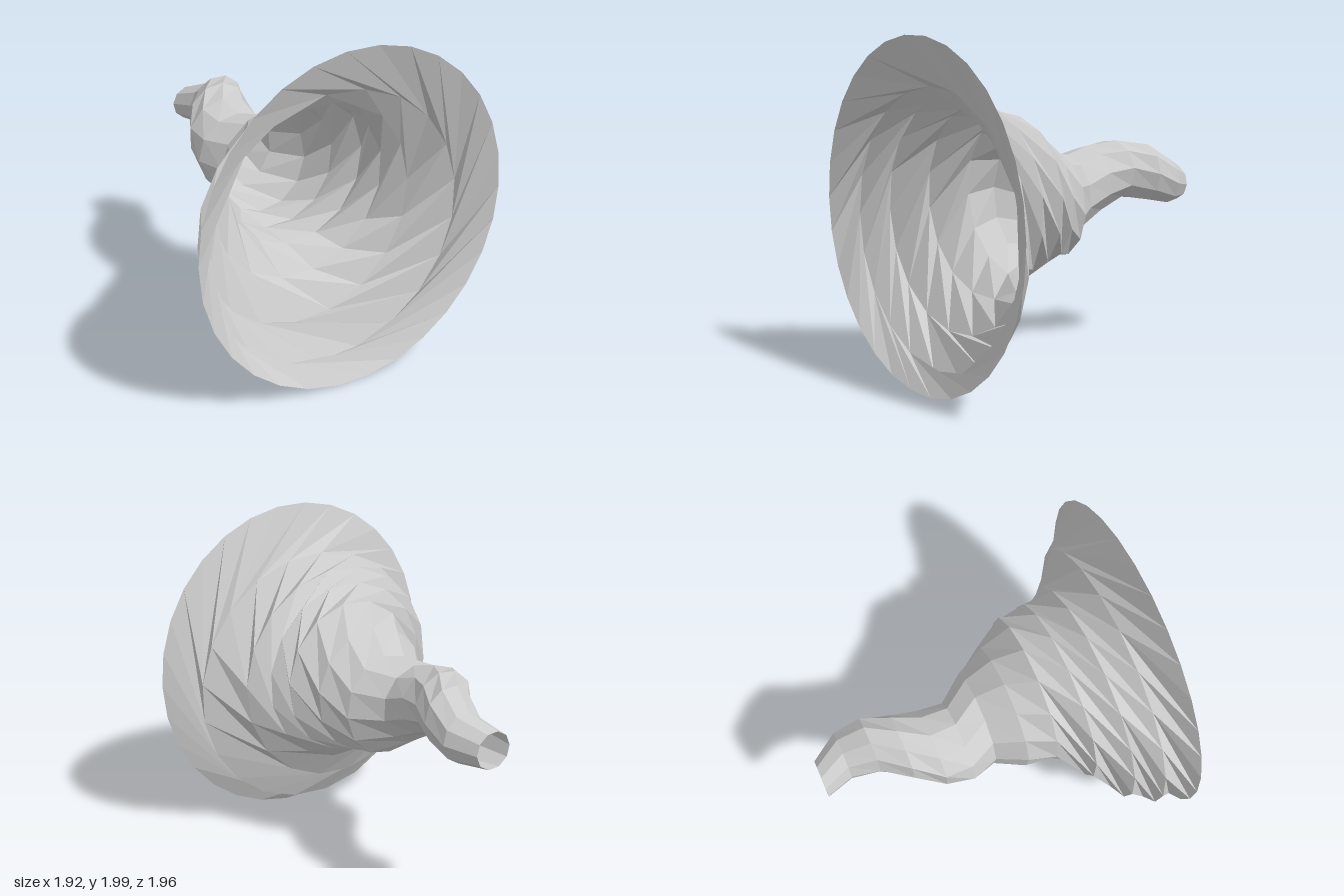
import * as THREE from 'three';

// Cross-sections from mouth to tail: [left x, right x, bottom y, top y, sides, twist in degrees]
const RINGS = [
  [-0.96, 0.96, 0.00, 2.00, 30, 0],
  [-0.88, 0.78, 0.08, 1.71, 21, -36],
  [-0.80, 0.56, 0.27, 1.64, 18, -36],
  [-0.62, 0.49, 0.47, 1.59, 16, -36],
  [-0.44, 0.46, 0.59, 1.53, 14, -34],
  [-0.40, 0.36, 0.63, 1.40, 13, -28],
  [-0.30, 0.27, 0.66, 1.28, 12, -20],
  [-0.36, 0.13, 0.77, 1.25, 11, -18],
  [-0.34, 0.125, 0.87, 1.29, 10, -14],
  [-0.25, 0.15, 0.96, 1.32, 10, -10],
  [-0.13, 0.21, 0.94, 1.30, 10, -8],
  [-0.08, 0.21, 0.91, 1.20, 10, -4],
  [-0.12, 0.11, 0.91, 1.13, 10, 0],
];
const FRONT = 0.98;

// Lofts rings of differing side counts, turning each one so the facets spiral
function twistedLoft(rings) {
  const step = (2 * FRONT) / (rings.length - 1);
  const positions = [], indices = [], starts = [];
  let turn = Math.PI / 2 + Math.PI / 30;
  rings.forEach(([x0, x1, y0, y1, n, twist], i) => {
    starts.push(positions.length / 3);
    turn += THREE.MathUtils.degToRad(twist);
    for (let k = 0; k < n; k++) {
      const a = turn + (k / n) * Math.PI * 2;
      positions.push(
        (x0 + x1) / 2 + ((x1 - x0) / 2) * Math.cos(a),
        (y0 + y1) / 2 + ((y1 - y0) / 2) * Math.sin(a),
        FRONT - i * step);
    }
  });
  // Zip neighbouring rings together, always advancing the one that lags
  for (let i = 0; i < rings.length - 1; i++) {
    const n = rings[i][4], m = rings[i + 1][4];
    let a = 0, b = 0;
    while (a < n || b < m) {
      const p = starts[i] + (a % n), q = starts[i + 1] + (b % m);
      if (b >= m || (a < n && (a + 1) / n <= (b + 1) / m)) {
        a++;
        indices.push(p, q, starts[i] + (a % n));
      } else {
        b++;
        indices.push(p, q, starts[i + 1] + (b % m));
      }
    }
  }
  const geometry = new THREE.BufferGeometry();
  geometry.setAttribute('position', new THREE.Float32BufferAttribute(positions, 3));
  geometry.setIndex(indices);
  const flat = geometry.toNonIndexed();
  flat.computeVertexNormals();
  return flat;
}

export function createModel() {
  const model = new THREE.Group();
  model.name = 'twistedHorn';
  // Thin open shell, wide at the mouth and bent toward the tail
  const shell = new THREE.Mesh(
    twistedLoft(RINGS),
    new THREE.MeshStandardMaterial({ color: 0xcccccc, flatShading: true, side: THREE.DoubleSide }));
  shell.name = 'hornShell';
  model.add(shell);
  return model;
}
